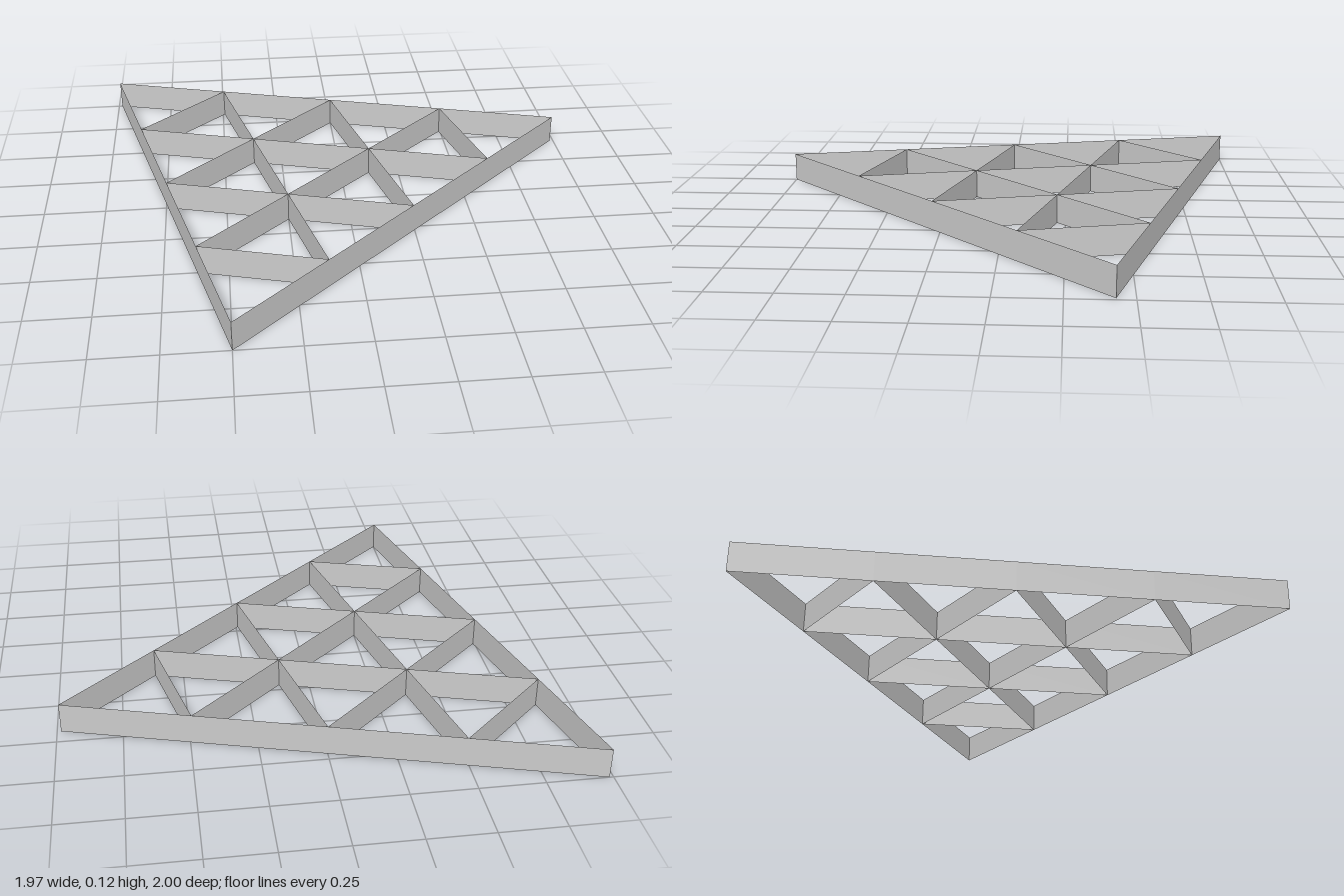
import * as THREE from 'three';

const HEIGHT = 0.12;
const DIVISIONS = 4;

// Corners of the triangular frame, seen from above (x, z)
const corners = [
  new THREE.Vector2(-0.5, 1),
  new THREE.Vector2(0.985, -0.43),
  new THREE.Vector2(-0.985, -1),
];

const material = new THREE.MeshStandardMaterial({ color: 0xcccccc, side: THREE.DoubleSide });

// Thin upright wall between two floor points, with one segment per lattice cell
function wall(name, from, to, cells) {
  const run = to.clone().sub(from);
  const mesh = new THREE.Mesh(new THREE.PlaneGeometry(run.length(), HEIGHT, cells, 1), material);
  mesh.name = name;
  mesh.position.set((from.x + to.x) / 2, HEIGHT / 2, (from.y + to.y) / 2);
  mesh.rotation.y = Math.atan2(-run.y, run.x);
  return mesh;
}

export function createModel() {
  const model = new THREE.Group();
  model.name = 'triangularLattice';

  // From each corner, walls parallel to the opposite side; the last one is the outer side
  corners.forEach((apex, i) => {
    const a = corners[(i + 1) % 3];
    const b = corners[(i + 2) % 3];
    for (let k = 1; k <= DIVISIONS; k++) {
      const t = k / DIVISIONS;
      const name = k === DIVISIONS ? `outerWall${i + 1}` : `innerWall${i + 1}_${k}`;
      model.add(wall(name, apex.clone().lerp(b, t), apex.clone().lerp(a, t), k));
    }
  });

  return model;
}
